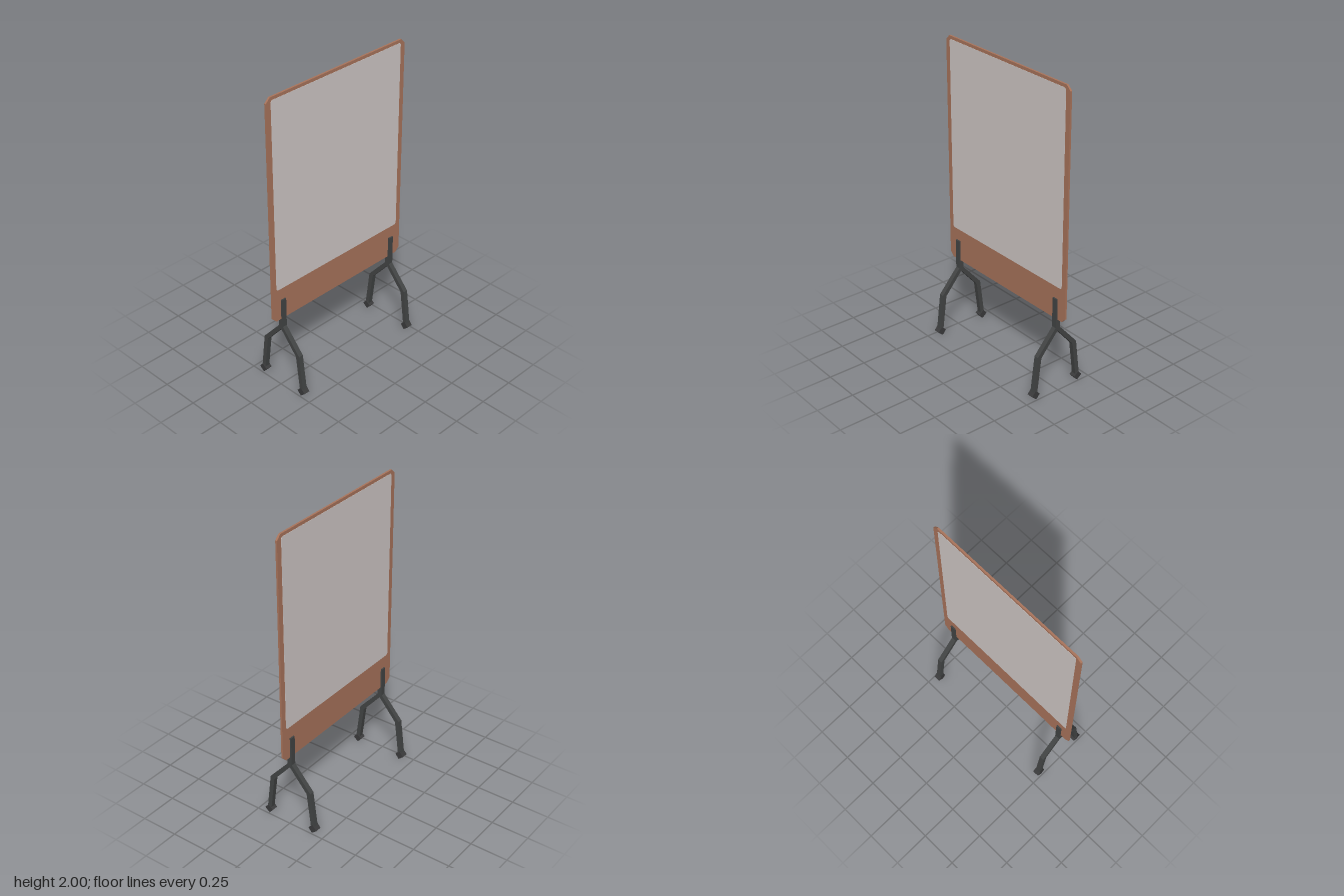
import * as THREE from 'three';

// Upright slab in the YZ plane with chamfered corners, centred on x = 0
function chamferedSlab(halfWidth, bottom, top, cut, thickness) {
  const w = halfWidth;
  const shape = new THREE.Shape([
    [-w + cut, bottom], [w - cut, bottom], [w, bottom + cut], [w, top - cut],
    [w - cut, top], [-w + cut, top], [-w, top - cut], [-w, bottom + cut],
  ].map(([x, y]) => new THREE.Vector2(x, y)));
  const geometry = new THREE.ExtrudeGeometry(shape, { depth: thickness, bevelEnabled: false });
  return geometry.translate(0, 0, -thickness / 2).rotateY(Math.PI / 2);
}

export function createModel() {
  const wood = new THREE.MeshStandardMaterial({ name: 'brown wood', color: 0xa9745b });
  const white = new THREE.MeshStandardMaterial({ name: 'pale grey surface', color: 0xd0c8c6 });
  const metal = new THREE.MeshStandardMaterial({ name: 'dark metal', color: 0x424444 });
  const rubber = new THREE.MeshStandardMaterial({ name: 'black rubber', color: 0x3a3a3b });

  const model = new THREE.Group();
  model.name = 'standingBoard';
  const add = (parent, name, geometry, material) => {
    const mesh = new THREE.Mesh(geometry, material);
    mesh.name = name;
    parent.add(mesh);
    return mesh;
  };

  // Board, with a writing surface standing slightly proud on both faces
  add(model, 'board', chamferedSlab(0.555, 0.5, 2, 0.03, 0.012), wood);
  add(model, 'writingSurface', chamferedSlab(0.52, 0.72, 1.98, 0.01, 0.015), white);

  // Bent legs: one mitred outline, mirrored into an inverted Y
  const outer = [[0.184, 0.035], [0.153, 0.287], [0.016, 0.443]];
  const inner = [[0, 0.421], [0.125, 0.275], [0.156, 0.031]];
  const mirror = (points) => points.map(([x, y]) => [-x, y]).reverse();
  const outline = [...outer, ...mirror(outer), ...mirror(inner), ...inner.slice(1)];
  const legShape = new THREE.Shape(outline.map(([x, y]) => new THREE.Vector2(x, y)));
  const legDepth = 0.031;
  const legGeometry = new THREE.ExtrudeGeometry(legShape, { depth: legDepth, bevelEnabled: false })
    .translate(0, 0, -legDepth / 2);
  const postGeometry = new THREE.BoxGeometry(0.032, 0.205, 0.035).translate(0, 0.5375, 0);
  const footGeometry = new THREE.BoxGeometry(0.044, 0.04, 0.043);

  for (const z of [-0.47, 0.47]) {
    const stand = new THREE.Group();
    stand.name = z > 0 ? 'frontStand' : 'backStand';
    stand.position.z = z;
    add(stand, 'post', postGeometry, metal);
    add(stand, 'legs', legGeometry, metal);
    for (const side of [-1, 1]) {
      const foot = add(stand, side > 0 ? 'leftFoot' : 'rightFoot', footGeometry, rubber);
      foot.position.set(side * 0.17, 0.03, 0);
      foot.rotation.z = side * 0.7;
    }
    model.add(stand);
  }
  return model;
}
